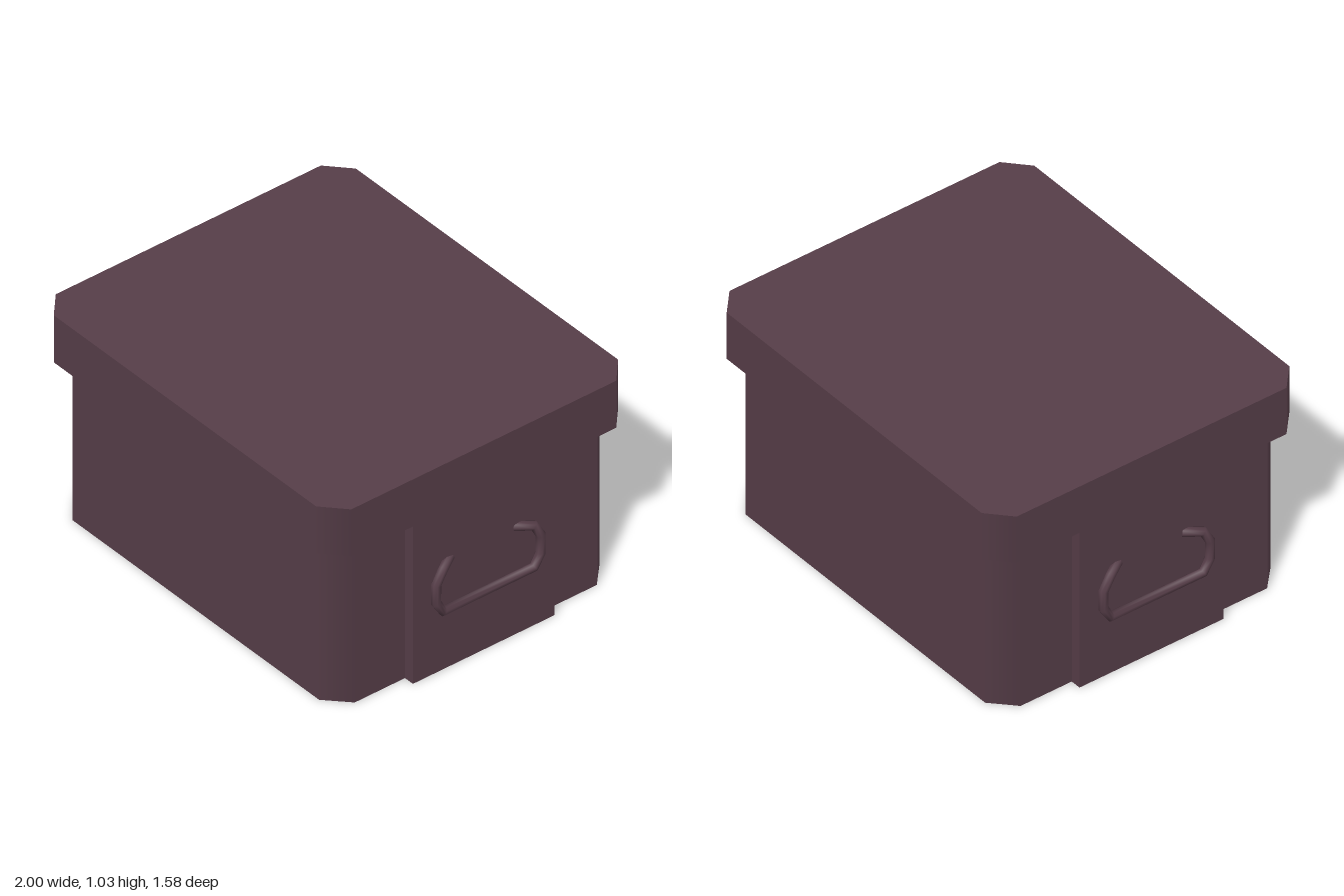
import * as THREE from 'three';

const BASE_TOP = 0.793, LID_TOP = 1.03;

// Half outlines (x, z), running front to back round the +x side.
// Both have the same number of points so the rim can bridge them.
const halfBase = [
  [0.79, 0.733], [0.895, 0.633], [0.895, 0.37], [0.946, 0.37],
  [0.946, -0.37], [0.895, -0.37], [0.895, -0.633], [0.79, -0.733],
];
const halfLid = [
  [0.84, 0.79], [0.946, 0.693], [0.946, 0.37], [0.946, 0.37],
  [0.946, -0.37], [0.946, -0.37], [0.946, -0.693], [0.84, -0.79],
];
const fullOutline = (half) => [...half, ...half.map(([x, z]) => [-x, -z])];

function makeGeometry(positions, normals) {
  const g = new THREE.BufferGeometry();
  g.setAttribute('position', new THREE.Float32BufferAttribute(positions, 3));
  g.setAttribute('normal', new THREE.Float32BufferAttribute(normals, 3));
  return g;
}

// Vertical wall along an outline; corner chamfers blend smoothly into their neighbours
function wallGeometry(outline, y0, y1) {
  const n = outline.length, positions = [], normals = [];
  const side = (i) => {
    const a = outline[(i + n) % n], b = outline[(i + 1) % n];
    const dx = b[0] - a[0], dz = b[1] - a[1], len = Math.hypot(dx, dz);
    return { a, b, len, normal: [-dz / (len || 1), 0, dx / (len || 1)] };
  };
  for (let i = 0; i < n; i++) {
    const { a, b, len, normal } = side(i);
    if (len < 1e-6) continue;
    const chamfer = Math.abs(normal[0] * normal[2]) > 0.1;
    const na = chamfer ? side(i - 1).normal : normal;
    const nb = chamfer ? side(i + 1).normal : normal;
    const A0 = [a[0], y0, a[1]], A1 = [a[0], y1, a[1]];
    const B0 = [b[0], y0, b[1]], B1 = [b[0], y1, b[1]];
    positions.push(...A0, ...B0, ...B1, ...A0, ...B1, ...A1);
    normals.push(...na, ...nb, ...nb, ...na, ...nb, ...na);
  }
  return makeGeometry(positions, normals);
}

// Downward ledge joining the base walls to the wider lid
function rimGeometry(inner, outer, y) {
  const n = inner.length, positions = [], normals = [];
  for (let i = 0; i < n; i++) {
    const j = (i + 1) % n;
    const [ai, bi, ao, bo] = [inner[i], inner[j], outer[i], outer[j]];
    for (const tri of [[ai, bi, bo], [ai, bo, ao]]) {
      const [p, q, r] = tri;
      const area = (q[0] - p[0]) * (r[1] - p[1]) - (q[1] - p[1]) * (r[0] - p[0]);
      if (Math.abs(area) < 1e-6) continue;
      for (const [x, z] of tri) {
        positions.push(x, y, z);
        normals.push(0, -1, 0);
      }
    }
  }
  return makeGeometry(positions, normals);
}

// Angular path sampled exactly at its corners
class CornerPath extends THREE.Curve {
  constructor(points) {
    super();
    this.points = points;
  }
  getPoint(t, target = new THREE.Vector3()) {
    const last = this.points.length - 1;
    const i = Math.min(Math.floor(t * last + 1e-6), last - 1);
    return target.lerpVectors(this.points[i], this.points[i + 1], t * last - i);
  }
  getPointAt(u, target) {
    return this.getPoint(u, target);
  }
  getTangentAt(u, target = new THREE.Vector3()) {
    const p = this.points, last = p.length - 1, i = Math.round(u * last);
    const before = p[i].clone().sub(p[Math.max(i - 1, 0)]).normalize();
    const after = p[Math.min(i + 1, last)].clone().sub(p[i]).normalize();
    return target.copy(before.add(after)).normalize();
  }
}

function handleGeometry(side) {
  const half = [
    [0.932, 0.537, 0.165], [0.978, 0.532, 0.237], [0.978, 0.47, 0.273],
    [0.978, 0.38, 0.273], [0.978, 0.322, 0.237],
  ];
  const path = [...half, ...half.map(([x, y, z]) => [x, y, -z]).reverse()]
    .map(([x, y, z]) => new THREE.Vector3(side * x, y, z));
  return new THREE.TubeGeometry(new CornerPath(path), path.length - 1, 0.022, 8);
}

export function createModel() {
  const model = new THREE.Group();
  model.name = 'storageBox';
  const plum = new THREE.MeshStandardMaterial({ color: 0x573e49, side: THREE.DoubleSide });
  plum.name = 'dark plum';

  const add = (name, geometry) => {
    const mesh = new THREE.Mesh(geometry, plum);
    mesh.name = name;
    model.add(mesh);
    return mesh;
  };

  const base = fullOutline(halfBase), lid = fullOutline(halfLid);

  // Hollow shell, open underneath
  add('baseWalls', wallGeometry(base, 0, BASE_TOP));
  add('lidRim', rimGeometry(base, lid, BASE_TOP));
  add('lidWalls', wallGeometry(lid, BASE_TOP, LID_TOP));
  const topShape = new THREE.Shape(
    lid.filter(([x, z], i) => Math.abs(z) > 0.5).map(([x, z]) => new THREE.Vector2(x, -z)));
  add('lidTop', new THREE.ShapeGeometry(topShape).rotateX(-Math.PI / 2)).position.y = LID_TOP;
  for (const part of model.children) part.position.x = 0.002;

  // Carry handles on both end panels
  add('leftHandle', handleGeometry(1));
  add('rightHandle', handleGeometry(-1));
  return model;
}
